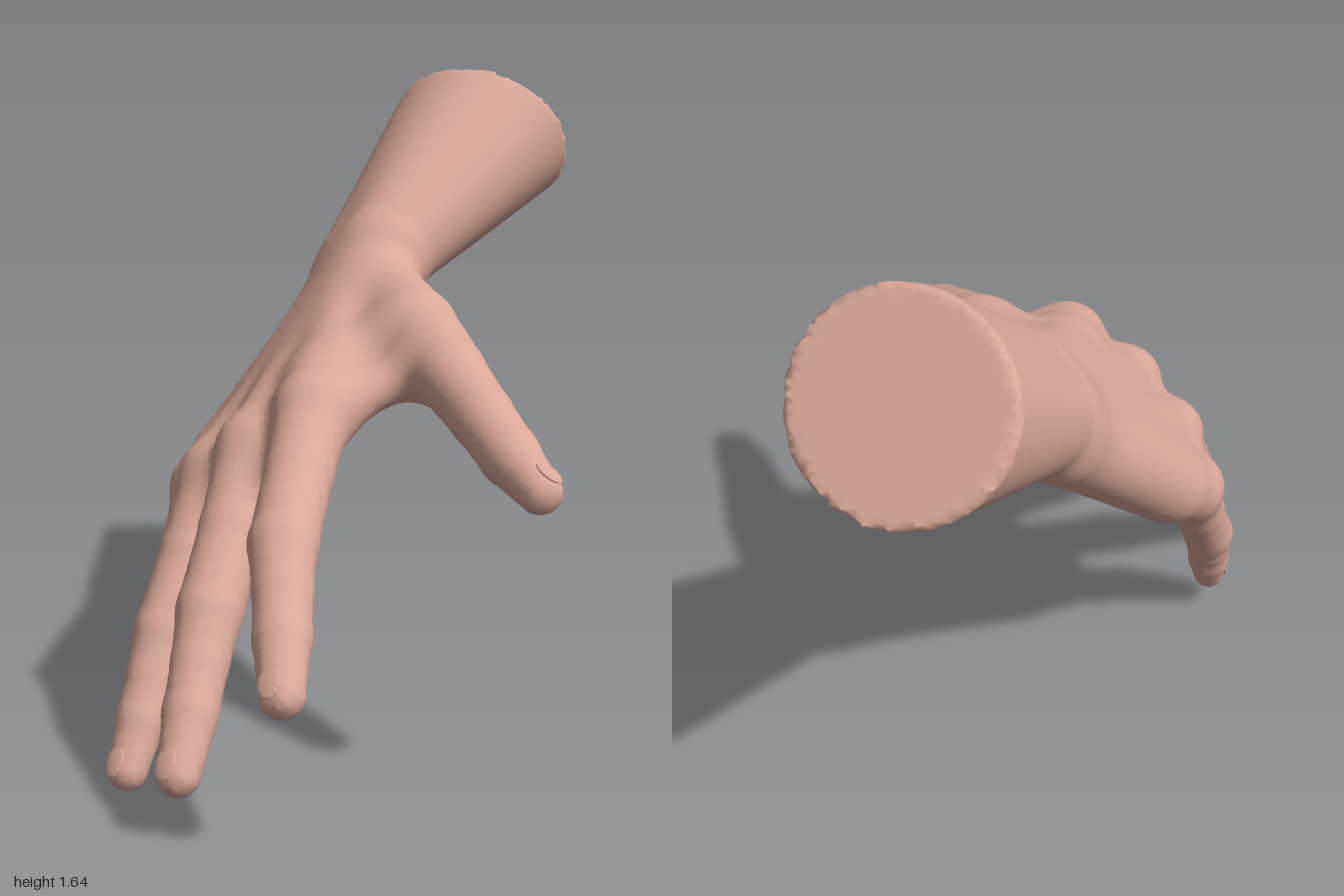
import * as THREE from 'three';

const V = (x, y, z) => new THREE.Vector3(x, y, z);
const mix = (a, b, t) => a.clone().lerp(b, t);
const joint = (p, r) => [p.x, p.y, p.z, r];

// Each part is a chain of joints [x, y, z, radius]; blend = how softly it melts into the rest
const parts = [];
const addPart = (blend, joints, extra) => parts.push({ blend, joints, ...extra });

// Forearm: two parallel bones that flatten towards the wrist
const elbow = V(0.475, 1.53, -0.966), wrist = V(0.065, 1.15, -0.42), across = V(0.54, 0.54, 0.64);
for (const s of [-1, 1]) {
  addPart(0.04, [
    joint(elbow.clone().addScaledVector(across, 0.02 * s), 0.275),
    joint(wrist.clone().addScaledVector(across, 0.055 * s), 0.132)]);
}

// Fingers: knuckle, middle joint, tip and thickness, each with its bone through the palm
const fingers = [
  { name: 'index', knuckle: V(-0.12, 0.875, 0.25), middle: V(-0.195, 0.645, 0.61), tip: V(-0.2, 0.4, 0.94), size: 1 },
  { name: 'middle', knuckle: V(-0.265, 0.765, 0.2), middle: V(-0.37, 0.45, 0.5), tip: V(-0.437, 0.148, 0.772), size: 0.98 },
  { name: 'ring', knuckle: V(-0.365, 0.67, 0.08), middle: V(-0.49, 0.335, 0.315), tip: V(-0.574, 0.05, 0.51), size: 0.92 },
  { name: 'little', knuckle: V(-0.4, 0.6, -0.075), middle: V(-0.49, 0.33, 0.07), tip: V(-0.52, 0.11, 0.163), size: 0.81 },
];
fingers.forEach(({ name, knuckle, middle, tip, size }, i) => {
  const root = mix(V(0.06, 1.13, -0.33), V(-0.02, 1.02, -0.42), i / 3);
  addPart(0.08, [joint(root, 0.097), joint(knuckle, 0.088)]);
  addPart(0.035, [
    joint(knuckle, 0.096 * size), joint(mix(knuckle, middle, 0.5), 0.083 * size),
    joint(middle, 0.082 * size), joint(mix(middle, tip, 0.32), 0.07 * size),
    joint(mix(middle, tip, 0.63), 0.067 * size), joint(tip, 0.053 * size),
  ], { nail: name + 'Nail', back: i < 3 ? V(-0.5, 0.75, 0.3) : V(-0.75, 0.5, 0.1) });
});

// Thumb
addPart(0.06, [
  [0.08, 1.08, -0.2, 0.1], [0.14, 1.03, 0.04, 0.112], [0.215, 0.965, 0.25, 0.09],
  [0.28, 0.895, 0.41, 0.077], [0.335, 0.83, 0.53, 0.072], [0.392, 0.775, 0.65, 0.053],
], { nail: 'thumbNail', back: V(0.5, 0.8, 0.25) });

// Pads: heel of the palm, ball of the thumb, finger roots
addPart(0.06, [[-0.01, 0.99, -0.35, 0.1], [-0.32, 0.66, -0.14, 0.09]]);
addPart(0.06, [[0.07, 1.03, -0.2, 0.09], [0.1, 0.99, 0.05, 0.085]]);
addPart(0.05, [[-0.2, 0.72, 0.3, 0.065], [-0.4, 0.53, 0.06, 0.065]]);
// Web between thumb and index finger
addPart(0.08, [[0.18, 0.98, 0.16, 0.055], [-0.1, 0.87, 0.26, 0.055]]);
addPart(0.06, [[0.1, 1.01, 0.05, 0.075], [-0.1, 0.91, 0.13, 0.075]]);

// Plane where the forearm is cut
const cutNormal = V(0.34, 0.6, -0.72).normalize();
const cutOffset = cutNormal.dot(V(0.38, 1.44, -0.84));

function smoothMin(a, b, k) {
  const h = Math.max(k - Math.abs(a - b), 0) / k;
  return Math.min(a, b) - h * h * k / 4;
}

// Distance to a tapering bone between joints a and b
function bone(x, y, z, a, b) {
  const dx = b[0] - a[0], dy = b[1] - a[1], dz = b[2] - a[2];
  const px = x - a[0], py = y - a[1], pz = z - a[2];
  const t = Math.min(1, Math.max(0,
    (px * dx + py * dy + pz * dz) / (dx * dx + dy * dy + dz * dz)));
  const qx = px - dx * t, qy = py - dy * t, qz = pz - dz * t;
  return Math.sqrt(qx * qx + qy * qy + qz * qz) - a[3] - (b[3] - a[3]) * t;
}

// Signed distance to the whole hand
function field(x, y, z) {
  let d = 10;
  for (const { joints, blend } of parts) {
    let chain = 10;
    for (let i = 1; i < joints.length; i++) {
      chain = smoothMin(chain, bone(x, y, z, joints[i - 1], joints[i]), 0.012);
    }
    d = smoothMin(d, chain, blend);
  }
  return Math.max(d, cutNormal.x * x + cutNormal.y * y + cutNormal.z * z - cutOffset);
}

// Skin stretched over the bones: one vertex per grid cell crossed by the surface
function skinGeometry(min, max, cell) {
  const n = min.map((m, i) => Math.ceil((max[i] - m) / cell) + 1);
  const step = [1, n[0], n[0] * n[1]];
  const value = new Float32Array(n[0] * n[1] * n[2]);
  const at = (i, j, k) => i + j * step[1] + k * step[2];
  const eachCell = (from, to, fn) => {
    for (let k = from; k < n[2] - to; k++)
      for (let j = from; j < n[1] - to; j++)
        for (let i = from; i < n[0] - to; i++) fn(i, j, k, at(i, j, k));
  };
  eachCell(0, 0, (i, j, k, c) => {
    value[c] = field(min[0] + i * cell, min[1] + j * cell, min[2] + k * cell);
  });

  const vertex = new Int32Array(value.length).fill(-1), pos = [], idx = [];
  eachCell(0, 1, (i, j, k, c) => {
    const sum = [0, 0, 0];
    let count = 0;
    for (let corner = 0; corner < 8; corner++) {
      const o = [corner & 1, corner >> 1 & 1, corner >> 2];
      const v0 = value[c + at(...o)];
      for (let a = 0; a < 3; a++) {
        if (o[a]) continue;
        const v1 = value[c + at(...o) + step[a]];
        if (v0 < 0 === v1 < 0) continue;
        for (let b = 0; b < 3; b++) sum[b] += o[b] + (a === b ? v0 / (v0 - v1) : 0);
        count++;
      }
    }
    if (!count) return;
    const p = [i, j, k].map((q, a) => min[a] + (q + sum[a] / count) * cell);
    // Settle the vertex onto the exact surface
    const f = field(...p), e = 0.002;
    const g = p.map((_, a) => (field(...p.map((q, b) => q + (a === b ? e : 0))) - f) / e);
    const len = Math.max(0.3, g[0] ** 2 + g[1] ** 2 + g[2] ** 2);
    vertex[c] = pos.length / 3;
    pos.push(...p.map((q, a) => q - g[a] * f / len));
  });

  // A quad around every grid edge that passes through the surface
  eachCell(1, 1, (i, j, k, c) => {
    for (let a = 0; a < 3; a++) {
      const inside = value[c] < 0;
      if (inside === value[c + step[a]] < 0) continue;
      const b = step[(a + 1) % 3], d = step[(a + 2) % 3];
      const [p, q, r, s] = [c - b - d, c - d, c, c - b].map(v => vertex[v]);
      if (inside) idx.push(p, q, r, p, r, s);
      else idx.push(p, r, q, p, s, r);
    }
  });
  const geometry = new THREE.BufferGeometry();
  geometry.setAttribute('position', new THREE.Float32BufferAttribute(pos, 3));
  geometry.setIndex(idx);
  geometry.computeVertexNormals();
  return geometry;
}

export function createModel() {
  const hand = new THREE.Group();
  hand.name = 'hand';
  const skin = new THREE.MeshStandardMaterial({ color: 0xd9a798 });
  skin.name = 'skin';
  const add = (name, geometry) => {
    const m = new THREE.Mesh(geometry, skin);
    m.name = name;
    hand.add(m);
    return m;
  };

  add('handAndForearm', skinGeometry([-0.7, -0.06, -1.1], [0.7, 1.74, 1.06], 0.019));

  // Fingernails: thin shells on the back of each tip
  for (const { nail, back, joints } of parts.filter(p => p.nail)) {
    const [base, tip] = joints.slice(-2).map(j => V(j[0], j[1], j[2]));
    const r = joints.at(-1)[3];
    const along = tip.clone().sub(base).normalize();
    const side = back.clone().cross(along).normalize();
    const up = along.clone().cross(side);
    const m = add(nail, new THREE.SphereGeometry(1, 20, 12));
    m.quaternion.setFromRotationMatrix(new THREE.Matrix4().makeBasis(side, up, along));
    m.position.copy(tip).addScaledVector(along, -0.01).addScaledVector(up, r * 0.95);
    m.scale.set(r * 0.6, 0.008, 0.042);
  }
  return hand;
}
